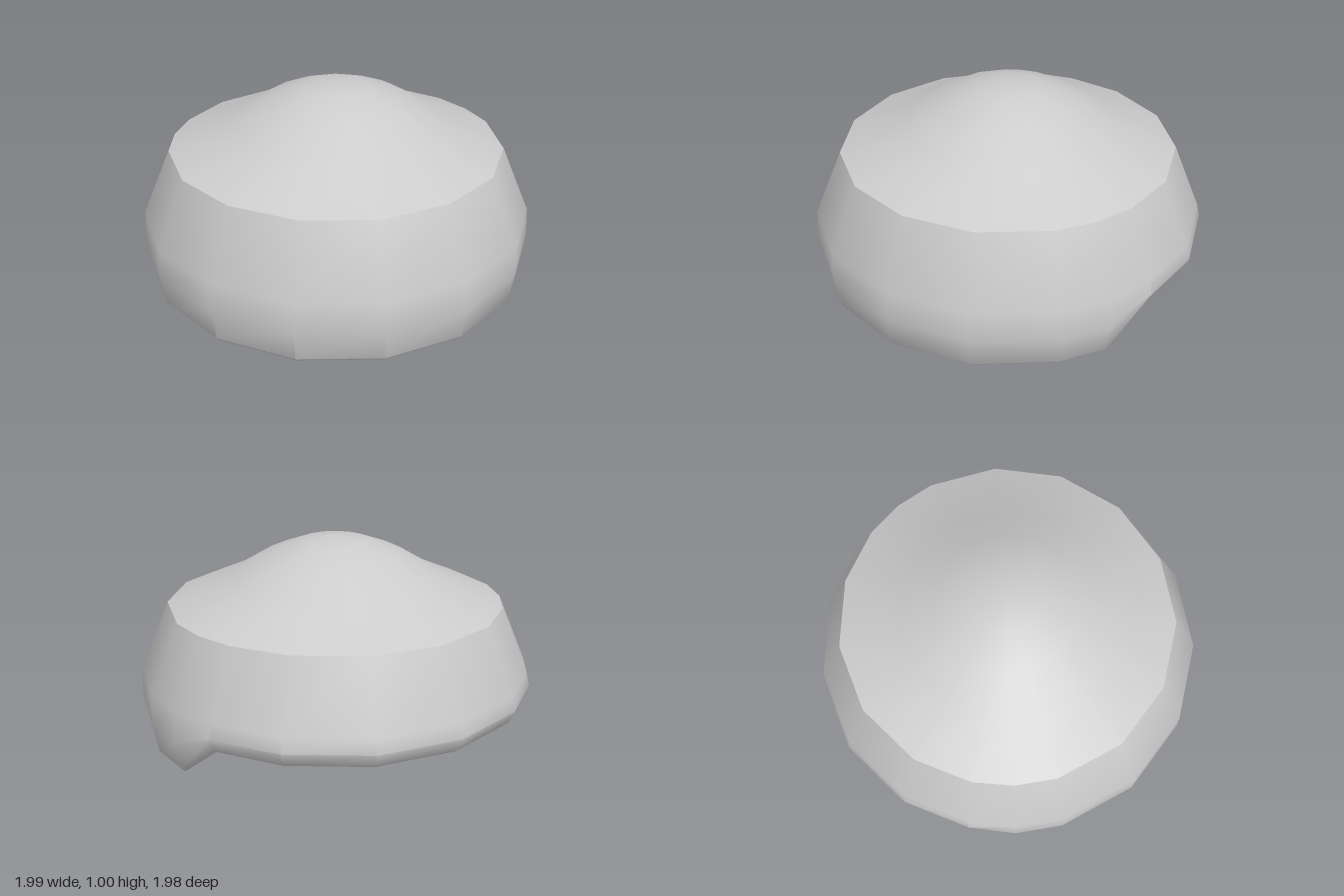
import * as THREE from 'three';
import { toCreasedNormals } from 'three/addons/utils/BufferGeometryUtils.js';

// Angles of the 17 ribs, from the front (+z) round to the back
const half = [24, 48, 72, 96, 110, 123.7, 144, 168];
const ANGLES = [0, ...half, ...half.map(a => 360 - a).reverse()].map(a => a * Math.PI / 180);
const Z_SHIFT = -0.011;

// Profiles as [radius, height, radius at the back notch, height at the back notch]
const UNDERSIDE = [
  [0, 0.57], [0.285, 0.57], [0.38, 0.54], [0.38, 0.377], [0.665, 0.377],
  [0.80, 0.225, 0.80, 0.27], [0.81, 0.055, 0.81, 0.25],
  [0.93, 0.055, 0.93, 0.25], [0.945, 0.005, 0.945, 0.195],
];
const WALL = [
  [0.945, 0.005, 0.945, 0.195], [0.958, 0.005, 0.96, 0.195], [0.973, 0.022, 0.975, 0.21],
  [1, 0.18, 1.002, 0.27], [0.992, 0.33, 0.985, 0.34], [0.848, 0.67],
];
const CROWN = [[0.848, 0.67], [0.52, 0.81], [0.345, 0.915], [0.17, 0.98], [0, 1]];

// Sweep a profile round the ribs, raising the ribs in the back notch
function sweep(profile) {
  const point = (row, j) => {
    const t = ANGLES[j % ANGLES.length];
    const [r0, y0, r1 = r0, y1 = y0] = row;
    const back = Math.cos(t) < -0.5;
    const r = back ? r1 : r0;
    const tilt = !back && y0 < 0.1 ? 0.01 * (1 - Math.cos(t)) : 0;
    return [r * Math.sin(t), (back ? y1 : y0) + tilt, r * Math.cos(t) + Z_SHIFT];
  };
  const pos = [];
  for (let i = 0; i < profile.length - 1; i++) {
    for (let j = 0; j < ANGLES.length; j++) {
      const a = point(profile[i], j), b = point(profile[i], j + 1);
      const c = point(profile[i + 1], j + 1), d = point(profile[i + 1], j);
      if (profile[i][0] > 0) pos.push(...a, ...b, ...c);
      if (profile[i + 1][0] > 0) pos.push(...a, ...c, ...d);
      else continue;
    }
  }
  const geo = new THREE.BufferGeometry();
  geo.setAttribute('position', new THREE.Float32BufferAttribute(pos, 3));
  return toCreasedNormals(geo, 0.66);
}

export function createModel() {
  const group = new THREE.Group();
  group.name = 'domedCap';
  const material = new THREE.MeshStandardMaterial({ color: 0xcccccc });
  const parts = { crown: CROWN, sideWall: WALL, hollowUnderside: UNDERSIDE };
  for (const [name, profile] of Object.entries(parts)) {
    const mesh = new THREE.Mesh(sweep(profile), material);
    mesh.name = name;
    group.add(mesh);
  }
  return group;
}
